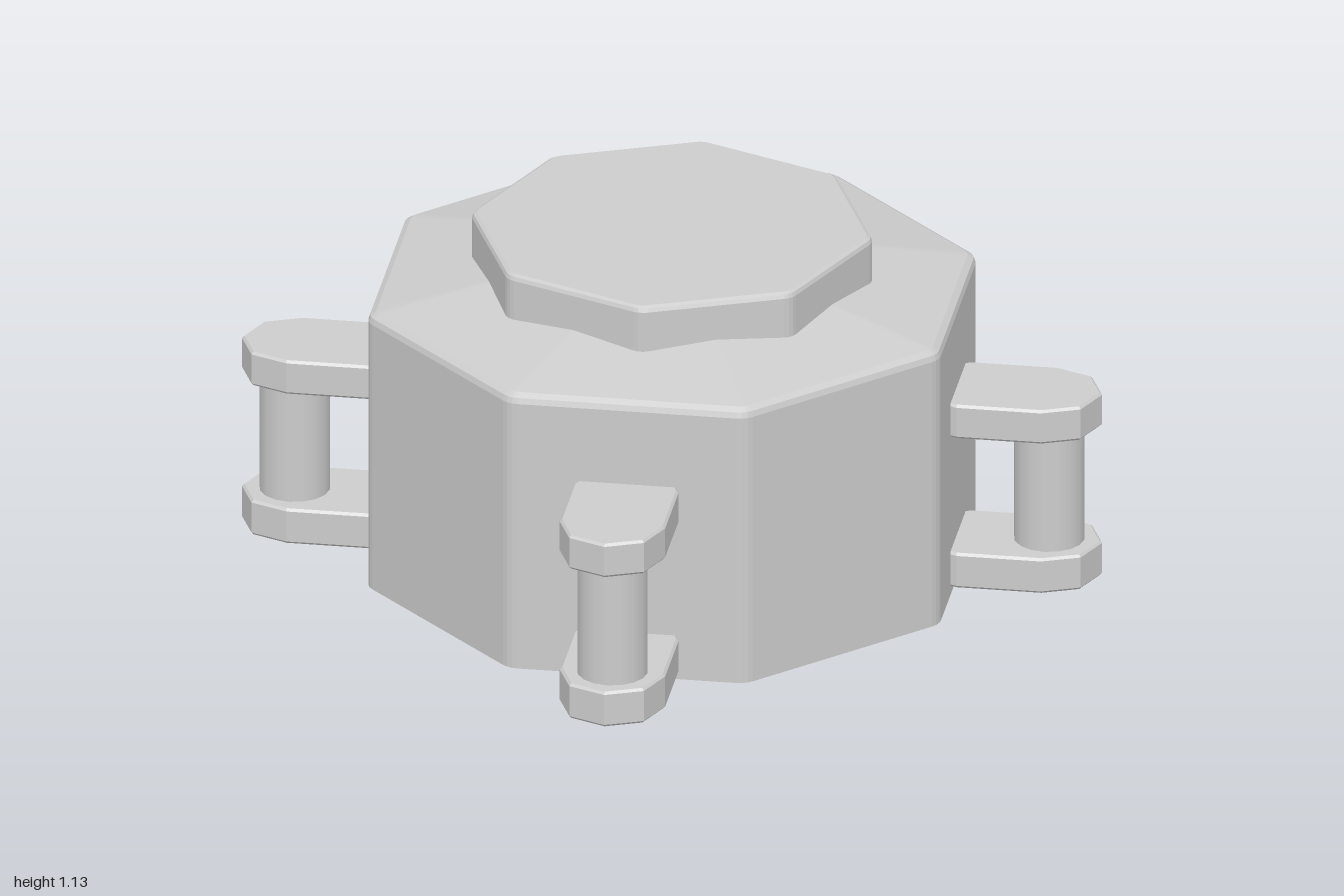
import * as THREE from 'three';

const EIGHTH = Math.PI / 4;

// Octagon with rounded corners: apothem, corner radius, angle of the first corner
function roundedOctagon(apothem, radius, turn) {
  const pts = [];
  const reach = (apothem - radius) / Math.cos(EIGHTH / 2);
  for (let k = 0; k < 8; k++) {
    const a = turn + k * EIGHTH;
    for (const f of [-0.5, -1 / 6, 1 / 6, 0.5]) {
      const b = a + f * EIGHTH;
      pts.push([
        reach * Math.cos(a) + radius * Math.cos(b),
        reach * Math.sin(a) + radius * Math.sin(b),
      ]);
    }
  }
  return pts;
}

// Bar along x whose two ends are half octagons
function barOutline(inner, outer, radius) {
  const pts = [];
  for (const [cx, start] of [[outer, -2], [inner, 2]]) {
    for (let k = 0; k <= 4; k++) {
      const a = (start + k) * EIGHTH;
      pts.push([cx + radius * Math.cos(a), radius * Math.sin(a)]);
    }
  }
  return pts;
}

// Faceted loft through [inset, y] rings; end heights close it with a fan
function loft(outline, rings, bottomY, topY) {
  const pos = [];
  const loops = rings.map(([inset, y]) => outline(inset).map(([x, z]) => [x, y, z]));
  const n = loops[0].length;
  const centre = (loop, y) => [loop.reduce((s, p) => s + p[0], 0) / n, y, 0];
  const tri = (a, b, c) => pos.push(...a, ...b, ...c);
  const first = loops[0];
  const last = loops[loops.length - 1];
  for (let i = 0; i < n; i++) {
    const j = (i + 1) % n;
    for (let r = 0; r < loops.length - 1; r++) {
      const lo = loops[r];
      const hi = loops[r + 1];
      tri(lo[i], hi[i], lo[j]);
      tri(lo[j], hi[i], hi[j]);
    }
    if (topY !== null) tri(centre(last, topY), last[j], last[i]);
    if (bottomY !== null) tri(centre(first, bottomY), first[i], first[j]);
  }
  const g = new THREE.BufferGeometry();
  g.setAttribute('position', new THREE.Float32BufferAttribute(pos, 3));
  g.computeVertexNormals();
  return g;
}

export function createModel() {
  const model = new THREE.Group();
  model.name = 'octagonalHousing';
  const grey = new THREE.MeshStandardMaterial({ color: 0xcccccc, side: THREE.DoubleSide });
  grey.name = 'plainGrey';

  const add = (parent, geometry, name) => {
    const mesh = new THREE.Mesh(geometry, grey);
    mesh.name = name;
    parent.add(mesh);
    return mesh;
  };

  // Hollow body, open underneath, with a shallow pyramid roof
  add(model, loft(
    (d) => roundedOctagon(0.895 - d, 0.07 - d, EIGHTH / 2),
    [[0, 0], [0, 0.9], [0.006, 0.918], [0.025, 0.93]],
    null, 1.105,
  ), 'body');

  // Thick lid, sunk through the roof, turned half a facet
  add(model, loft(
    (d) => roundedOctagon(0.582 - d, 0.06 - d, 0),
    [[0.015, 0.69], [0, 0.705], [0, 1.112], [0.005, 1.124], [0.016, 1.13]],
    0.69, 1.13,
  ), 'lid');

  // Four corner handles: two bars joined by a round post
  const post = 1.18;
  for (let k = 0; k < 4; k++) {
    const handle = new THREE.Group();
    handle.name = 'handle' + (k + 1);
    handle.rotation.y = Math.PI / 4 + k * Math.PI / 2;
    for (const [y0, y1, name] of [[0.03, 0.148, 'lowerBar'], [0.538, 0.652, 'upperBar']]) {
      add(handle, loft(
        (d) => barOutline(0.915, post, 0.165 - d),
        [[0.008, y0], [0, y0 + 0.008], [0, y1 - 0.008], [0.008, y1]],
        y0, y1,
      ), name);
    }
    const rod = add(handle, new THREE.CylinderGeometry(0.11, 0.11, 0.42, 16, 1, true), 'post');
    rod.position.set(post, 0.343, 0);
    model.add(handle);
  }
  return model;
}
